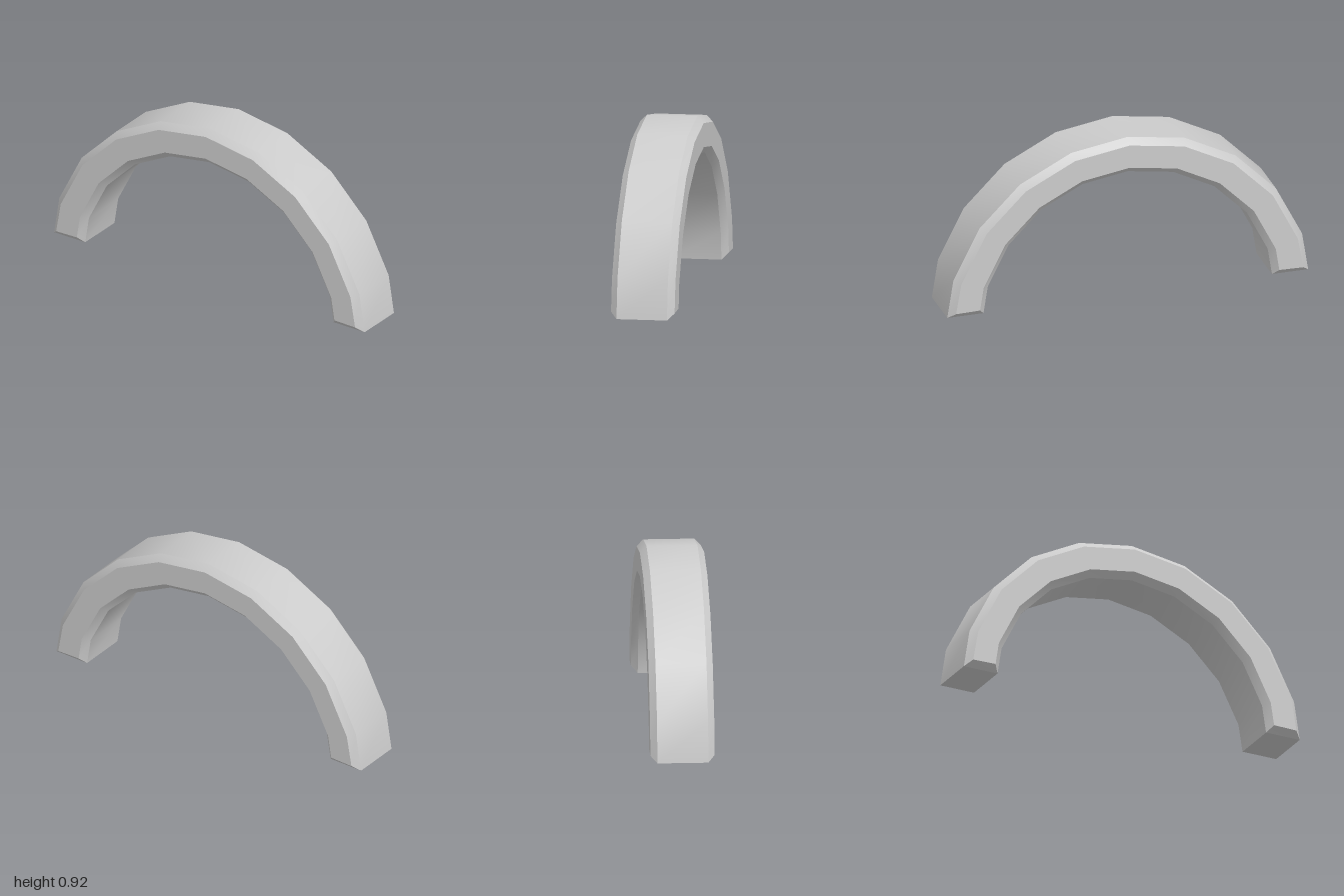
import * as THREE from 'three';
import { toCreasedNormals } from 'three/addons/utils/BufferGeometryUtils.js';

const CENTRE_Y = -0.1; // the ring's centre lies below the ground line
const STEP = Math.PI / 10; // 20-sided ring
const CHAMFER = 0.035;

// Points of a 20-sided circle, cut off at y = 0, from +x over the top to -x
function arc(radius) {
  const points = [];
  for (let i = 1; i <= 9; i++) {
    points.push(new THREE.Vector2(radius * Math.cos(i * STEP), CENTRE_Y + radius * Math.sin(i * STEP)));
  }
  const t = -CENTRE_Y / (radius * Math.sin(STEP));
  const footX = radius + (points[0].x - radius) * t;
  return [new THREE.Vector2(footX, 0), ...points, new THREE.Vector2(-footX, 0)];
}

export function createModel() {
  const group = new THREE.Group();
  group.name = 'archModel';

  // Arch band with chamfered front and back rims
  const shape = new THREE.Shape([...arc(1.0155), ...arc(0.815).reverse()]);
  const depth = 0.27;
  const geometry = new THREE.ExtrudeGeometry(shape, {
    depth,
    bevelEnabled: true,
    bevelSegments: 1,
    bevelThickness: CHAMFER,
    bevelSize: CHAMFER,
    bevelOffset: -CHAMFER,
  });
  geometry.translate(0, 0, -depth / 2);

  // Smooth around the curve, sharp at the chamfers and feet
  const arch = new THREE.Mesh(
    toCreasedNormals(geometry, Math.PI / 6),
    new THREE.MeshStandardMaterial({ color: 0xcccccc })
  );
  arch.name = 'arch';
  group.add(arch);
  return group;
}
